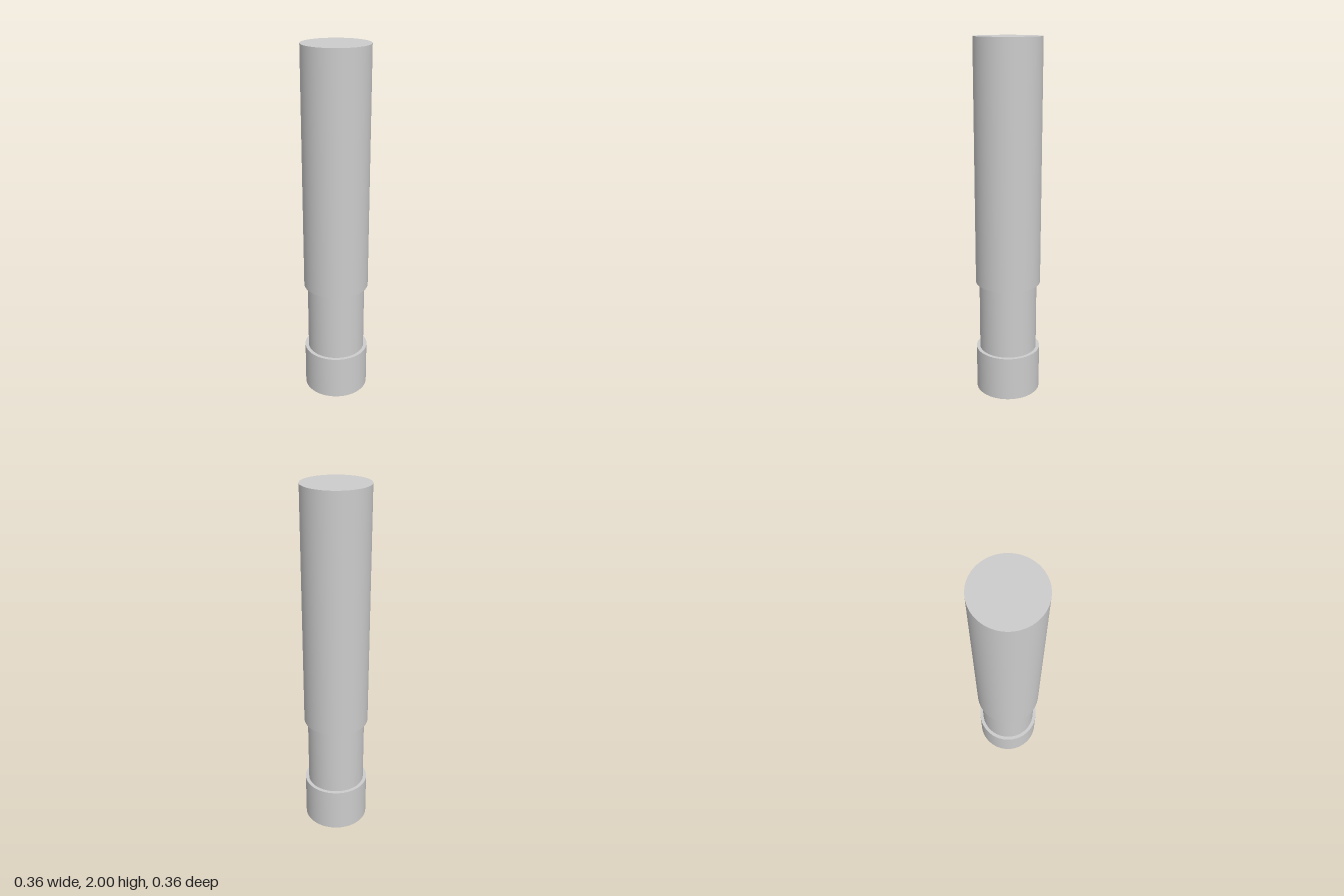
import * as THREE from 'three';
import { toCreasedNormals } from 'three/addons/utils/BufferGeometryUtils.js';

const OUTER = 0.182;   // shank and collar radius
const NECK = 0.162;    // recessed neck radius
const BORE = 0.062;    // blind hole radius
const BORE_DEPTH = 0.5;
const COLLAR_TOP = 0.255;
const NECK_TOP = 0.657;
const HEIGHT = 2;

export function createModel() {
  const group = new THREE.Group();
  group.name = 'steppedPin';
  const material = new THREE.MeshStandardMaterial({ color: 0xcccccc });

  // Revolve a radius/height profile, keeping its corners sharp
  function addTurned(name, profile) {
    const points = profile.map(([r, y]) => new THREE.Vector2(r, y));
    const geometry = toCreasedNormals(new THREE.LatheGeometry(points, 96), Math.PI / 6);
    const mesh = new THREE.Mesh(geometry, material);
    mesh.name = name;
    group.add(mesh);
  }

  // Blind hole opening in the bottom face
  addTurned('bore', [[0, BORE_DEPTH], [BORE, BORE_DEPTH], [BORE, 0]]);
  // Bottom collar with its upper shoulder
  addTurned('collar', [[BORE, 0], [OUTER, 0], [OUTER, COLLAR_TOP], [NECK, COLLAR_TOP]]);
  // Recessed neck
  addTurned('neck', [[NECK, COLLAR_TOP], [NECK, NECK_TOP]]);
  // Long shank with its lower shoulder and flat top
  addTurned('shank', [[NECK, NECK_TOP], [OUTER, NECK_TOP], [OUTER, HEIGHT], [0, HEIGHT]]);

  return group;
}
